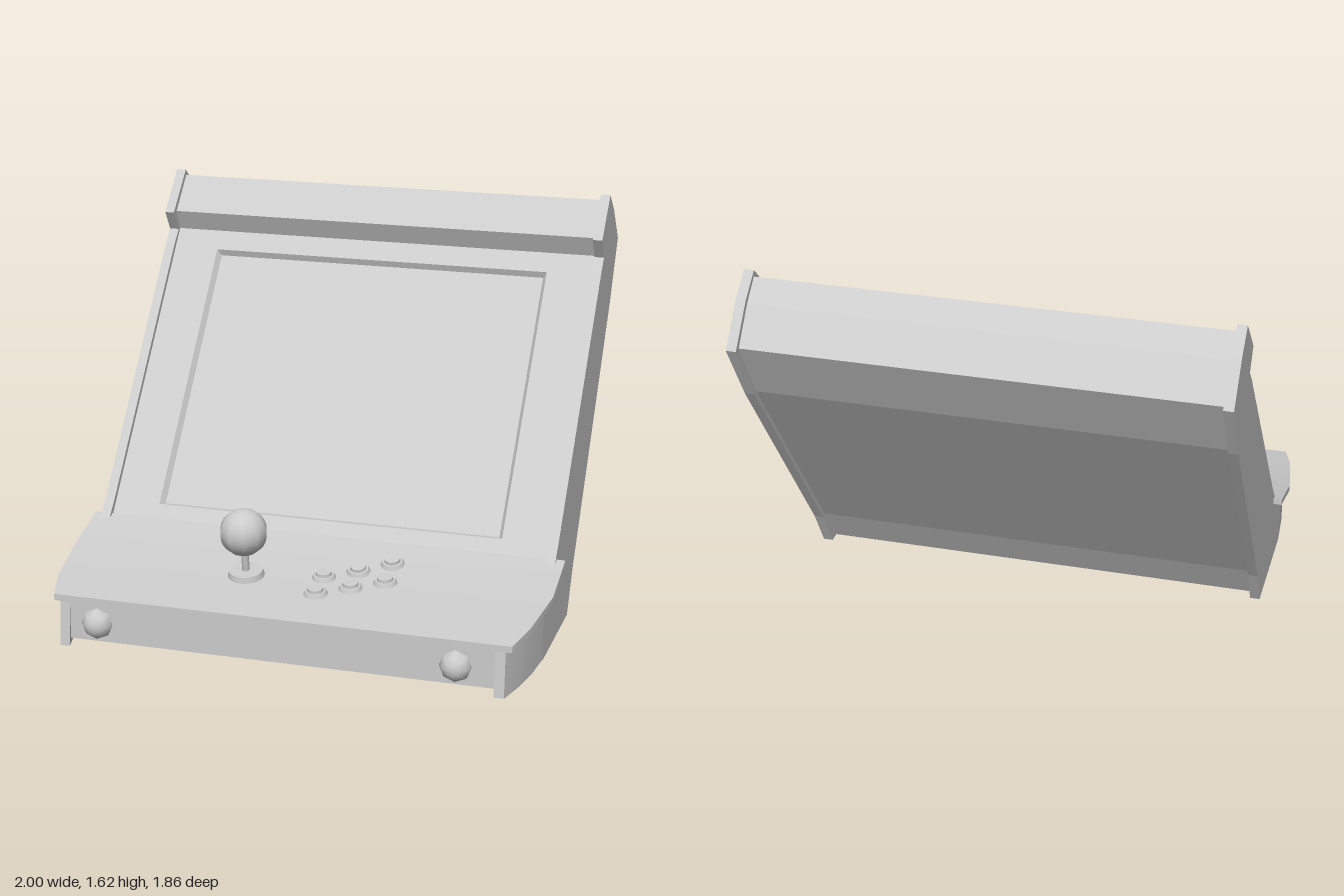
import * as THREE from 'three';
import { toCreasedNormals } from 'three/addons/utils/BufferGeometryUtils.js';

const grey = new THREE.MeshStandardMaterial({ color: 0xcccccc });
const thin = new THREE.MeshStandardMaterial({ color: 0xcccccc, side: THREE.DoubleSide });

function add(parent, name, geometry, material = grey, x = 0, y = 0, z = 0) {
  const mesh = new THREE.Mesh(geometry, material);
  mesh.name = name;
  mesh.position.set(x, y, z);
  parent.add(mesh);
  return mesh;
}

// Flat-sided surface from pairs of edges: each quad is four corners
function quads(list) {
  const pos = list.flatMap(([a, b, c, d]) => [a, b, c, a, c, d].flat());
  const g = new THREE.BufferGeometry();
  g.setAttribute('position', new THREE.Float32BufferAttribute(pos, 3));
  g.computeVertexNormals();
  return g;
}

// Sheet spanning the cabinet width along a [z, y] path
function sheet(path, w) {
  return quads(path.slice(1).map(([z, y], i) => {
    const [z0, y0] = path[i];
    return [[-w, y0, z0], [w, y0, z0], [w, y, z], [-w, y, z]];
  }));
}

// Box segmented along z whose vertices are placed by rule(station, xSign, ySign)
function stationBox(count, rule) {
  const g = new THREE.BoxGeometry(2, 2, 2, 1, 1, count - 1);
  const p = g.attributes.position;
  for (let i = 0; i < p.count; i++) {
    const k = Math.round((p.getZ(i) + 1) / 2 * (count - 1));
    p.setXYZ(i, ...rule(k, Math.sign(p.getX(i)), Math.sign(p.getY(i))));
  }
  g.computeVertexNormals();
  return toCreasedNormals(g, 0.5);
}

// Height and slope of the control deck
const deck = [[0.262, 0.34, 1], [0.5, 0.276, 1], [0.75, 0.242, 0.965], [0.887, 0.22, 0.925]];
function deckAt(z) {
  let i = 0;
  while (i < deck.length - 2 && z > deck[i + 1][0]) i++;
  const [z0, y0] = deck[i], [z1, y1] = deck[i + 1];
  const slope = (y1 - y0) / (z1 - z0);
  return { y: y0 + slope * (z - z0), tilt: Math.atan(-slope) };
}
function onDeck(parent, name, x, z) {
  const g = new THREE.Group(), d = deckAt(z);
  g.name = name;
  g.position.set(x, d.y, z);
  g.rotation.x = d.tilt;
  parent.add(g);
  return g;
}

export function createModel() {
  const model = new THREE.Group();
  model.name = 'tabletopArcadeCabinet';

  // Side panels: flat rear plate plus a front part that bends inward
  const profile = [[0.5, 0.005], [0, 0], [-0.1, 0.175], [-0.775, 1.12], [-0.93, 1.38], [-0.8, 1.535],
    [-0.7, 1.615], [-0.54, 1.455], [-0.595, 1.37], [-0.54, 1.315], [0.23, 0.4], [0.3, 0.328], [0.5, 0.262]];
  const plate = new THREE.ExtrudeGeometry(
    new THREE.Shape(profile.map(([z, y]) => new THREE.Vector2(-z, y))), { depth: 0.04, bevelEnabled: false });
  plate.rotateY(Math.PI / 2);
  const bend = [[0.5, 0.965], [0.65, 0.953], [0.78, 0.93], [0.9, 0.9]];
  for (const s of [-1, 1]) {
    const side = new THREE.Group();
    side.name = s > 0 ? 'leftSide' : 'rightSide';
    model.add(side);
    add(side, 'sidePlate', plate, grey, s > 0 ? 0.925 : -0.965);
    add(side, 'sideFront', stationBox(bend.length, (k, sx, sy) => {
      const [z, outer] = bend[k];
      const top = sy > 0;
      return [s * (outer - 0.02) + sx * 0.02, top ? deckAt(z).y - 0.018 : 0.01,
        top && k === 3 ? 0.884 : z];
    }));
  }

  // Control deck
  add(model, 'controlDeck', stationBox(deck.length, (k, sx, sy) => {
    const [z, y, w] = deck[k];
    return [sx * w, sy > 0 ? y : y - 0.026, z];
  }));

  // Front panel with side knobs
  add(model, 'frontPanel', new THREE.BoxGeometry(1.73, 0.165, 0.02), grey, 0, 0.117, 0.863);
  const knob = new THREE.SphereGeometry(0.066, 8, 8).rotateX(Math.PI / 2);
  add(model, 'rightKnob', knob, grey, -0.75, 0.11, 0.862);
  add(model, 'leftKnob', knob, grey, 0.705, 0.11, 0.862);

  // Header box and back panel
  add(model, 'header', sheet([[-0.614, 1.37], [-0.575, 1.455], [-0.705, 1.59], [-0.79, 1.515], [-0.9, 1.38]], 0.93), thin);
  add(model, 'backPanel', sheet([[-0.9, 1.38], [-0.757, 1.125], [-0.085, 0.185], [0.012, 0.025]], 0.93), thin);

  // Leaning monitor: bezel, bevelled surround and recessed screen
  const monitor = new THREE.Group();
  monitor.name = 'monitor';
  monitor.position.set(0, 0.34, 0.253);
  monitor.rotation.x = -0.6995;
  model.add(monitor);
  const rect = (w, y0, y1) => [[-w, y0], [w, y0], [w, y1], [-w, y1]];
  const toPoints = (r) => r.map(([x, y]) => new THREE.Vector2(x, y));
  const outer = rect(0.732, 0.059, 1.255), inner = rect(0.715, 0.074, 1.24);
  const face = new THREE.Shape(toPoints(rect(0.93, -0.02, 1.347)));
  face.holes.push(new THREE.Path(toPoints(outer)));
  add(monitor, 'bezel', new THREE.ShapeGeometry(face), thin);
  add(monitor, 'screenSurround', quads(outer.map((a, i) => {
    const j = (i + 1) % 4;
    return [[...a, 0], [...outer[j], 0], [...inner[j], -0.025], [...inner[i], -0.025]];
  })), thin);
  add(monitor, 'screen', new THREE.ShapeGeometry(new THREE.Shape(toPoints(inner))), thin, 0, 0, -0.025);

  // Joystick
  const stick = onDeck(model, 'joystick', -0.225, 0.585);
  add(stick, 'stickBase', new THREE.CylinderGeometry(0.068, 0.074, 0.024, 16), grey, 0, 0.012, 0);
  add(stick, 'stickShaft', new THREE.CylinderGeometry(0.015, 0.015, 0.12, 10), grey, 0, 0.07, 0);
  add(stick, 'stickBall', new THREE.SphereGeometry(0.096, 10, 16), grey, 0, 0.193, 0);

  // Buttons in two slanted rows
  const rim = new THREE.CylinderGeometry(0.041, 0.049, 0.016, 14);
  const cap = new THREE.CylinderGeometry(0.031, 0.034, 0.02, 14);
  for (let row = 0; row < 2; row++) {
    for (let i = 0; i < 3; i++) {
      const button = onDeck(model, 'button', 0.085 + i * 0.122 + row * 0.005, 0.54 - i * 0.07 + row * 0.13);
      add(button, 'buttonRim', rim, grey, 0, 0.008, 0);
      add(button, 'buttonCap', cap, grey, 0, 0.018, 0);
    }
  }
  return model;
}
